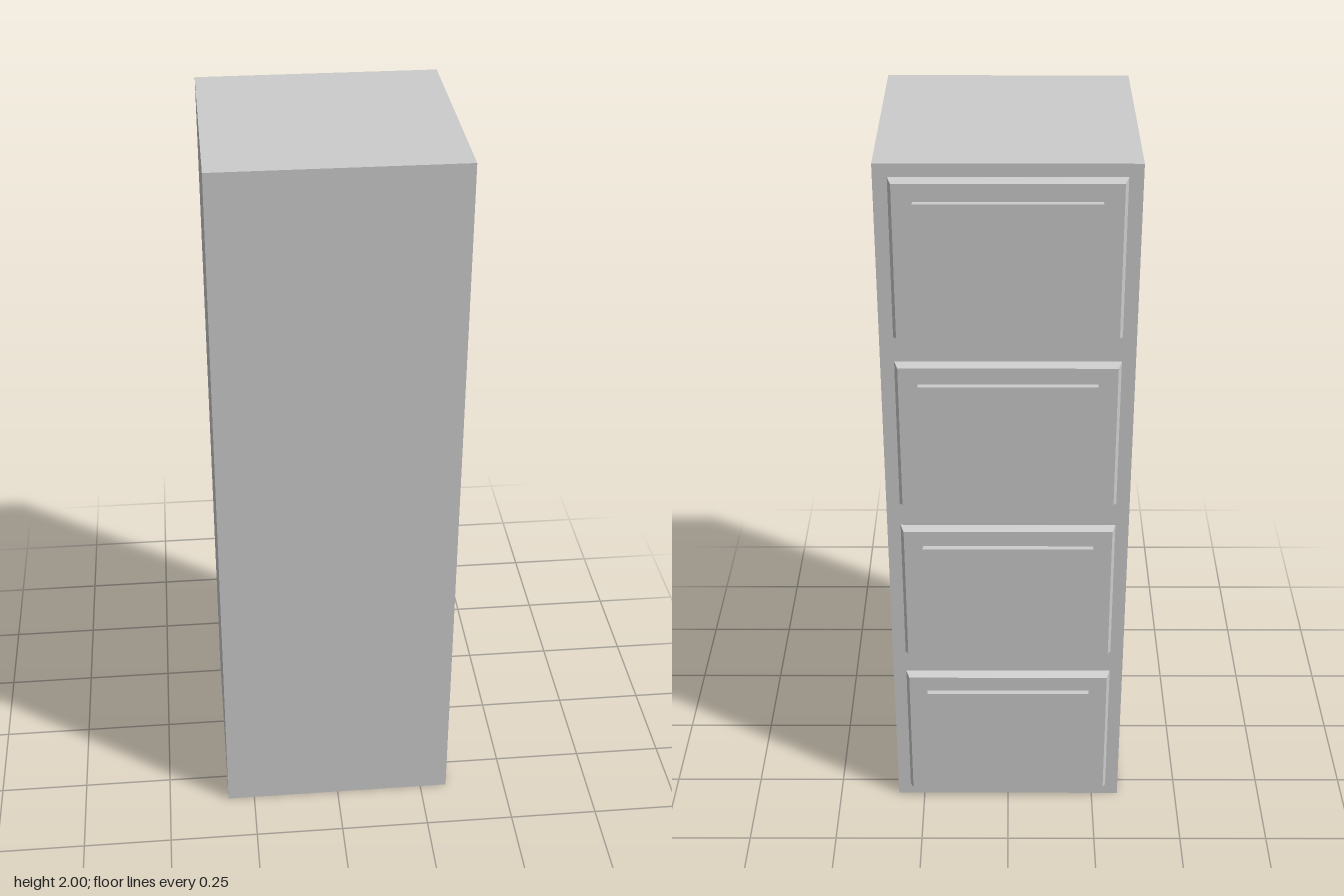
import * as THREE from 'three';

const BACK = -0.308; // cabinet face that carries the drawers
const FACE = -0.33; // outer face of the drawers

export function createModel() {
  const group = new THREE.Group();
  const material = new THREE.MeshStandardMaterial({ color: 0xcccccc, flatShading: true });

  // Box given by its limits on each axis
  const box = (name, x, y0, y1, z0, z1, parent) => {
    const mesh = new THREE.Mesh(new THREE.BoxGeometry(2 * x, y1 - y0, z1 - z0), material);
    mesh.position.set(0, (y0 + y1) / 2, (z0 + z1) / 2);
    mesh.name = name;
    parent.add(mesh);
    return mesh;
  };

  box('cabinetBody', 0.327, 0, 2, BACK, 0.346, group);

  // Four equal drawers, each with a bevelled front and a bar handle
  for (let i = 0; i < 4; i++) {
    const drawer = new THREE.Group();
    drawer.name = `drawer${i + 1}`;
    drawer.position.y = i * 0.5;
    group.add(drawer);

    const front = box('drawerFront', 0.291, 0.035, 0.466, FACE, BACK, drawer);
    const p = front.geometry.attributes.position;
    // Draw the outer corners in to form the bevel
    for (let v = 0; v < p.count; v++) {
      if (p.getZ(v) < 0) {
        p.setX(v, p.getX(v) - Math.sign(p.getX(v)) * 0.009);
        p.setY(v, p.getY(v) - Math.sign(p.getY(v)) * 0.009);
      }
    }
    front.geometry.computeVertexNormals();

    box('drawerHandle', 0.231, 0.36, 0.411, -0.346, FACE, drawer);
  }

  return group;
}
